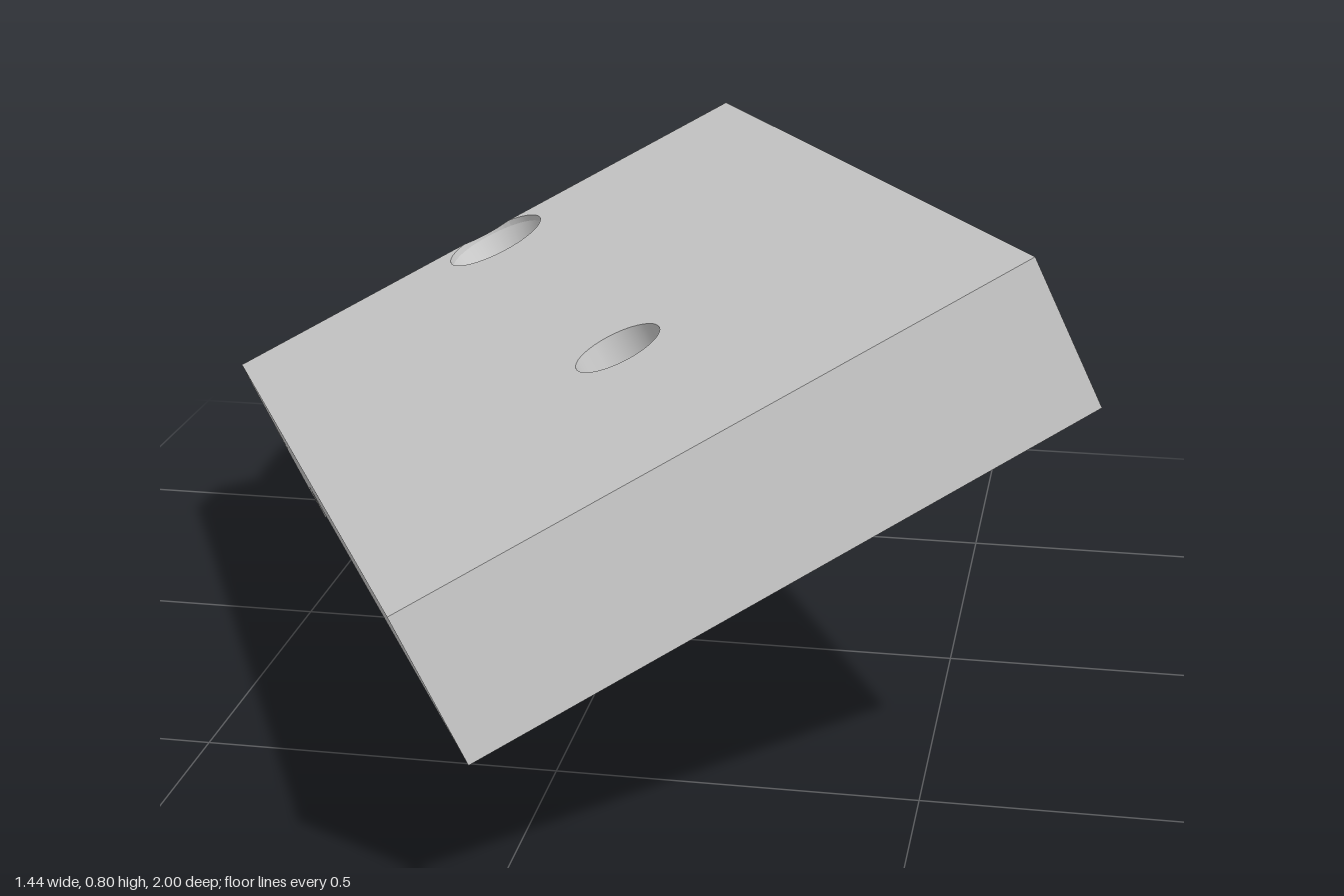
import * as THREE from 'three';
import { toCreasedNormals } from 'three/addons/utils/BufferGeometryUtils.js';

// Local frame: x across the width, y along the length, z out of the top face (top at z = 0)
const W = 0.898, M = W / 2;          // width and its middle
const EDGE = 1.334, LAND = 1.77;     // where the sloped face starts and ends
const UNDER = -0.218, BASE = -0.345; // underside of the block, underside of the foot
const slope = y => Math.max(UNDER, -(y - EDGE) * 0.5);
const screwX = [M - 0.179, M + 0.179], screwY = 1.444;

export function createModel() {
  const group = new THREE.Group();
  group.name = 'clampingBlock';
  const steel = new THREE.MeshStandardMaterial({ color: 0xcacaca, side: THREE.DoubleSide });
  steel.name = 'steelGrey';

  const add = (name, geo) => {
    const mesh = new THREE.Mesh(geo, steel);
    mesh.name = name;
    group.add(mesh);
  };

  // Extrudes a shape by one unit, then places every vertex by a rule
  const solid = (name, shape, rule) => {
    const geo = new THREE.ExtrudeGeometry(shape, { depth: 1, bevelEnabled: false, curveSegments: 20 });
    const p = geo.attributes.position;
    for (let i = 0; i < p.count; i++) p.setXYZ(i, ...rule(p.getX(i), p.getY(i), p.getZ(i)));
    add(name, toCreasedNormals(geo, 0.35));
  };
  const between = (lo, hi) => (x, y, t) => [x, y, lo + (hi - lo) * t];
  const hole = (shape, x, y, r) => {
    shape.holes.push(new THREE.Path().absarc(x, y, r, 0, Math.PI * 2, true));
    return shape;
  };
  // Moves points lying on a circle to another radius
  const pull = (x, y, cx, cy, from, to) => {
    const d = Math.hypot(x - cx, y - cy);
    return Math.abs(d - from) < 0.003 ? [cx + (x - cx) * to / from, cy + (y - cy) * to / from] : [x, y];
  };

  // Drilled recess that straddles the edge of the top face
  const cut = { y: 1.265, r: 0.08 };
  const theta = Math.asin((EDGE - cut.y) / cut.r);

  // Main block, in layers around the stepped bore
  const boreY = 0.476;
  const blockShape = r => {
    const s = new THREE.Shape();
    s.moveTo(0, 0); s.lineTo(W, 0); s.lineTo(W, EDGE);
    s.absarc(M, cut.y, cut.r, theta, Math.PI - theta, true);
    s.lineTo(0, EDGE);
    return hole(s, M, boreY, r);
  };
  solid('blockTop', blockShape(0.063), between(-0.065, 0));
  solid('blockMiddle', blockShape(0.13), between(-0.2, -0.065));
  const plain = new THREE.Shape();
  plain.moveTo(0, 0); plain.lineTo(W, 0); plain.lineTo(W, EDGE); plain.lineTo(0, EDGE);
  solid('blockBottom', hole(plain, M, boreY, 0.147), (x, y, t) =>
    [...(t > 0.5 ? pull(x, y, M, boreY, 0.147, 0.13) : [x, y]), t > 0.5 ? -0.2 : UNDER]);

  // Tapered lining of the drilled recess
  const lining = new THREE.CylinderGeometry(cut.r, 0.03, 0.15, 32, 1, true);
  lining.rotateX(Math.PI / 2).translate(M, cut.y, -0.085);
  add('drilledRecess', lining);

  // Rear notch outline, from one ear to the other
  const notch = (s, end) => {
    s.lineTo(M + 0.116, end); s.lineTo(M + 0.116, 1.62);
    s.quadraticCurveTo(M + 0.116, 1.65, M + 0.086, 1.65);
    s.lineTo(M + 0.086, 1.58); s.lineTo(M - 0.086, 1.58); s.lineTo(M - 0.086, 1.65);
    s.quadraticCurveTo(M - 0.116, 1.65, M - 0.116, 1.62);
    s.lineTo(M - 0.116, end);
  };

  // Sloped head with side pockets and two counterbores
  const headShape = r => {
    const s = new THREE.Shape();
    s.moveTo(0, 1.49); s.lineTo(0, EDGE);
    s.absarc(M, cut.y, cut.r, Math.PI - theta, theta, true);
    s.lineTo(W, EDGE); s.lineTo(W, 1.49); s.lineTo(W - 0.074, 1.49);
    s.quadraticCurveTo(W - 0.134, 1.49, W - 0.134, 1.55);
    s.lineTo(W - 0.134, LAND);
    notch(s, LAND);
    s.lineTo(0.134, LAND); s.lineTo(0.134, 1.55);
    s.quadraticCurveTo(0.134, 1.49, 0.074, 1.49);
    for (const x of screwX) hole(s, x, screwY, r);
    return s;
  };
  const lower = y => Math.max(UNDER, slope(y) - 0.015);
  solid('headBody', headShape(0.083), (x, y, t) => [x, y, t > 0.5 ? lower(y) : UNDER]);
  solid('headFace', headShape(0.098), (x, y, t) => {
    if (t > 0.5) return [x, y, slope(y)];
    let q = [x, y];
    for (const cx of screwX) q = pull(...q, cx, screwY, 0.098, 0.083);
    return [...q, lower(q[1])];
  });

  // Foot with bevelled front, clipped corners, notch and four screw holes
  const footShape = () => {
    const s = new THREE.Shape();
    s.moveTo(0.075, 1.39); s.lineTo(W - 0.075, 1.39); s.lineTo(W, 1.488);
    s.lineTo(W, 1.67); s.lineTo(W - 0.07, 1.79);
    notch(s, 1.79);
    s.lineTo(0.07, 1.79); s.lineTo(0, 1.67); s.lineTo(0, 1.488);
    for (const x of screwX) hole(s, x, screwY, 0.04);
    for (const x of [0.072, W - 0.072]) hole(s, x, 1.61, 0.045);
    return s;
  };
  const footRule = (lo, hi) => (x, y, t) => {
    const z = lo + (hi - lo) * t;
    const front = y < 1.395 || (Math.abs(x - M) > M - 0.005 && y < 1.5);
    return [x, front ? y - 1.6 * (z - BASE) : y, z];
  };
  const GROOVE = BASE + 0.02;
  solid('foot', footShape(), footRule(GROOVE, UNDER));

  // Sole of the foot with a curved groove on each side
  const sole = footShape();
  const curve = new THREE.QuadraticBezierCurve(
    new THREE.Vector2(0.355, 1.42), new THREE.Vector2(0.285, 1.48), new THREE.Vector2(0.256, 1.63));
  for (const side of [1, -1]) {
    const outer = [], inner = [];
    for (let i = 0; i <= 10; i++) {
      const p = curve.getPoint(i / 10), d = curve.getTangent(i / 10);
      outer.push(new THREE.Vector2(M + side * (p.x - d.y * 0.022), p.y + d.x * 0.022));
      inner.unshift(new THREE.Vector2(M + side * (p.x + d.y * 0.022), p.y - d.x * 0.022));
    }
    sole.holes.push(new THREE.Path([...outer, ...inner]));
  }
  solid('footSole', sole, footRule(BASE, GROOVE));

  // Back wall of the notch with its small outlet
  const wall = new THREE.Shape();
  wall.moveTo(M - 0.086, BASE); wall.lineTo(M + 0.086, BASE);
  wall.lineTo(M + 0.086, -0.15); wall.lineTo(M - 0.086, -0.15);
  hole(wall, M, -0.23, 0.025);
  solid('notchWall', wall, (x, z, t) => {
    const y = 1.65 - 0.07 * t;
    return [x, y, z > -0.2 ? slope(y) : z];
  });

  // Tilt the whole part into its resting pose
  const u = new THREE.Vector3(0.807, 0.423, -0.412).normalize();
  const w = u.clone().cross(new THREE.Vector3(-0.431, -0.067, -0.9)).normalize();
  const v = w.clone().cross(u);
  group.applyMatrix4(new THREE.Matrix4().makeBasis(u, v, w).setPosition(-0.095, 0.42, 1.0));
  return group;
}
